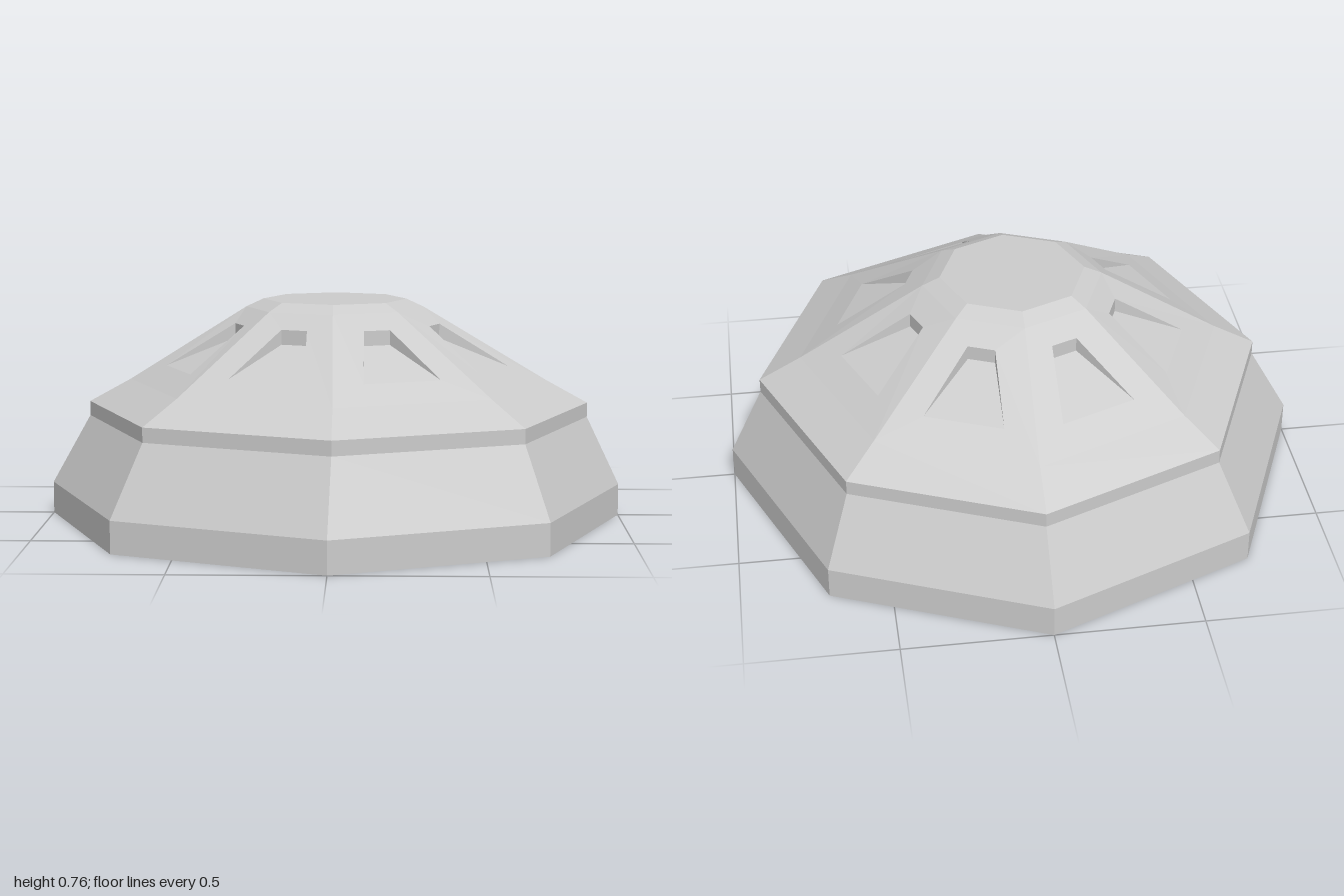
import * as THREE from 'three';
import { mergeGeometries } from 'three/addons/utils/BufferGeometryUtils.js';

const SIDES = 8;
const STEP = (Math.PI * 2) / SIDES;
const TAN = Math.tan(STEP / 2), COS = Math.cos(STEP / 2);
const THICK = 0.05; // vertical thickness of the dome shell

const material = new THREE.MeshStandardMaterial({
  color: 0xcccccc, flatShading: true, side: THREE.DoubleSide,
});

// The middle tier sits very slightly towards +x
function shiftTier(geometry) {
  const p = geometry.attributes.position;
  for (let i = 0; i < p.count; i++) {
    if (p.getY(i) > 0.33 && p.getY(i) < 0.7) p.setX(i, p.getX(i) + 0.01);
  }
  return geometry;
}

function add(group, name, geometry) {
  const mesh = new THREE.Mesh(shiftTier(geometry), material);
  mesh.name = name;
  group.add(mesh);
}

// Octagonal ring turned from a [radius, height] profile
const turned = (profile) =>
  new THREE.LatheGeometry(profile.map(([r, y]) => new THREE.Vector2(r, y)), SIDES);

// Quads, each given as four corners, in one geometry
function quads(list) {
  const points = list.flatMap(([a, b, c, d]) => [a, b, c, a, c, d]);
  const g = new THREE.BufferGeometry();
  g.setAttribute('position', new THREE.Float32BufferAttribute(points.flat(), 3));
  g.computeVertexNormals();
  return g;
}

// Repeat a single panel around the eight faces
function aroundFaces(panel) {
  const copies = [];
  for (let i = 0; i < SIDES; i++) copies.push(panel.clone().rotateY((i + 0.5) * STEP));
  return mergeGeometries(copies);
}

// Sloping dome face: corner radii and heights of its lower and upper edges
const LOW = { r: 0.73, y: 0.48 }, HIGH = { r: 0.31, y: 0.737 };
const slopeY = (depth) => {
  const t = (LOW.r * COS - depth) / ((LOW.r - HIGH.r) * COS);
  return LOW.y + t * (HIGH.y - LOW.y);
};

// Trapezium corners in order: bottom left, bottom right, top right, top left
function trapezium(z0, half0, z1, half1, drop = 0) {
  const y0 = slopeY(z0) - drop, y1 = slopeY(z1) - drop;
  return [[-half0, y0, z0], [half0, y0, z0], [half1, y1, z1], [-half1, y1, z1]];
}

function facePanel(lowRadius, drop) {
  const z0 = lowRadius * COS, z1 = HIGH.r * COS;
  return trapezium(z0, z0 * TAN, z1, z1 * TAN, drop);
}
const windowHole = (drop) => trapezium(0.584, 0.137, 0.362, 0.047, drop);

// Four quads bridging two corner loops
const bridge = (outer, inner) => outer.map((p, i) => {
  const j = (i + 1) % 4;
  return [p, outer[j], inner[j], inner[i]];
});

export function createModel() {
  const group = new THREE.Group();
  group.name = 'octagonalDome';

  // Hollow base wall, from the inner ledge round the rim to the outer shoulder
  add(group, 'baseWall', turned([
    [0.70, 0.448], [0.76, 0.39], [0.76, 0.34], [0.87, 0], [1, 0],
    [1, 0.11], [0.875, 0.35], [0.875, 0.4], [LOW.r, LOW.y],
  ]));

  // Flat cap with a bevelled edge, and its ceiling
  add(group, 'roofCap', turned([[HIGH.r, HIGH.y], [0.25, 0.765], [0, 0.765]]));
  add(group, 'ceiling', turned([[0, 0.715], [0.25, 0.715], [HIGH.r, HIGH.y - THICK]]));

  // Sloping faces with window openings, outside and inside
  const outerHole = windowHole(0), innerHole = windowHole(THICK);
  add(group, 'outerRoofPanels', aroundFaces(quads(bridge(facePanel(LOW.r, 0), outerHole))));
  const inside = bridge(facePanel(0.70, THICK), innerHole).map((q) => q.reverse());
  add(group, 'innerRoofPanels', aroundFaces(quads(inside)));

  // Window reveals
  add(group, 'windowReveals', aroundFaces(quads(bridge(outerHole, innerHole))));

  // Panes flush with the outside at the bottom and sunk at the top
  const pane = [outerHole[0], outerHole[1], innerHole[2], innerHole[3]];
  add(group, 'windowPanes', aroundFaces(quads([pane])));

  return group;
}
